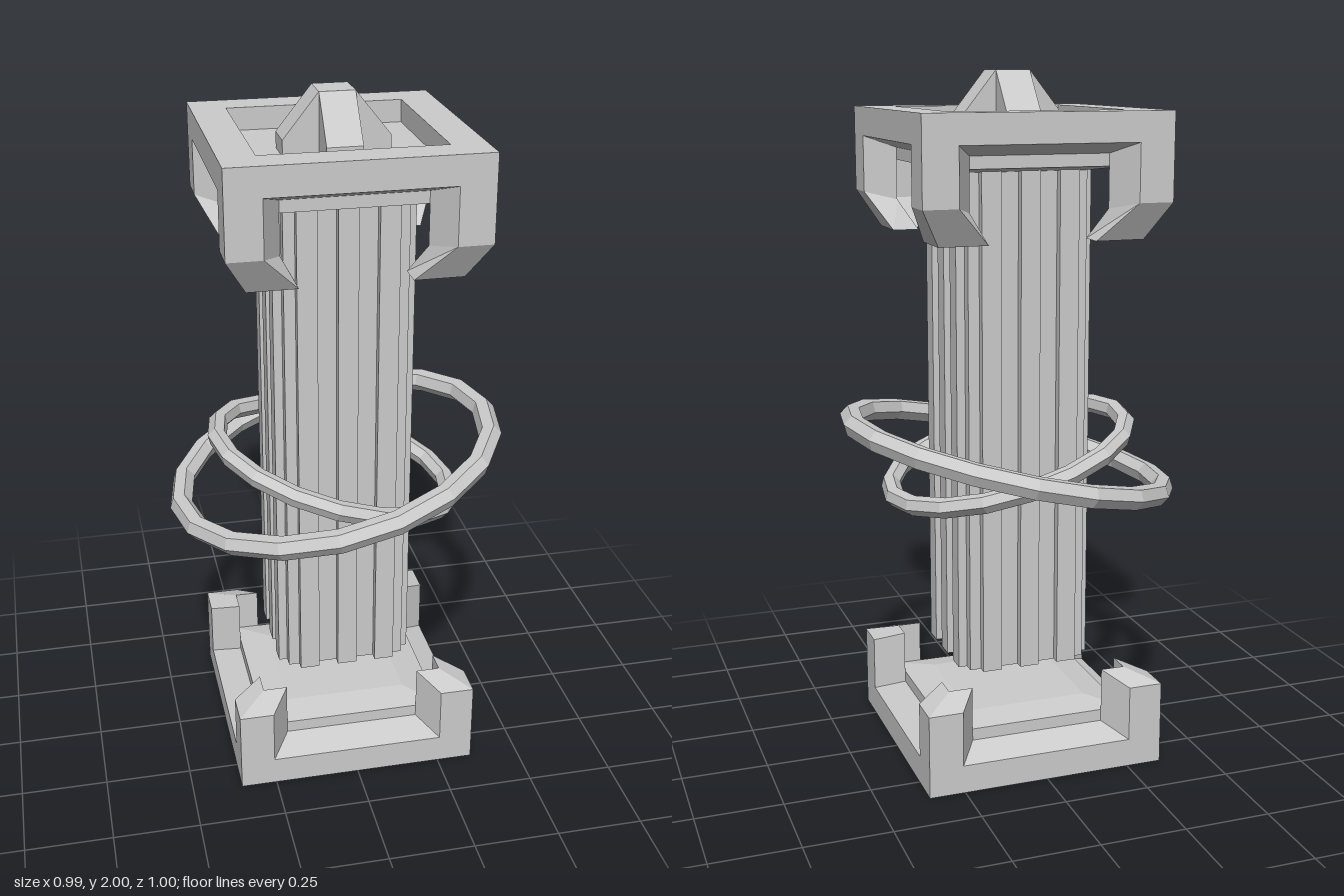
import * as THREE from 'three';

const material = new THREE.MeshStandardMaterial({ color: 0xcccccc, flatShading: true });

function mesh(name, geometry) {
  const m = new THREE.Mesh(geometry, material);
  m.name = name;
  return m;
}

// Square-plan solid from a [halfWidth, y] profile
function squareLathe(profile) {
  const pts = profile.map(([h, y]) => new THREE.Vector2(h * Math.SQRT2, y));
  return new THREE.LatheGeometry(pts, 4).rotateY(Math.PI / 4).toNonIndexed();
}

// Solid through matching loops of [x, y, z], ordered bottom to top
function loft(sections) {
  const pos = [];
  const tri = (...pts) => pts.forEach((p) => pos.push(...p));
  const n = sections[0].length;
  for (let s = 0; s < sections.length - 1; s++) {
    const lo = sections[s], hi = sections[s + 1];
    for (let i = 0; i < n; i++) {
      const j = (i + 1) % n;
      tri(lo[i], hi[i], lo[j]);
      tri(lo[j], hi[i], hi[j]);
    }
  }
  const cap = (loop, up) => {
    const flat = loop.map(([x, , z]) => new THREE.Vector2(x, z));
    for (const [a, b, c] of THREE.ShapeUtils.triangulateShape(flat, [])) {
      const area = THREE.ShapeUtils.area([flat[a], flat[b], flat[c]]);
      if ((area < 0) === up) tri(loop[a], loop[b], loop[c]);
      else tri(loop[a], loop[c], loop[b]);
    }
  };
  cap(sections[0], false);
  cap(sections[sections.length - 1], true);
  const g = new THREE.BufferGeometry();
  g.setAttribute('position', new THREE.Float32BufferAttribute(pos, 3));
  g.computeVertexNormals();
  return g;
}

// L-shaped corner section: outer points at yOuter, inner points at yInner
const POST = [[0.355, 0.355], [0.255, 0.355], [0.2, 0.27], [0.27, 0.27], [0.27, 0.2], [0.355, 0.255]];
const TIP = [[0.295, 0.295], [0.155, 0.295], [0.155, 0.22], [0.22, 0.22], [0.22, 0.155], [0.295, 0.155]];
const section = (plan, yOuter, yInner = yOuter) =>
  plan.map(([x, z], i) => [x, i >= 2 && i <= 4 ? yInner : yOuter, z]);

function fourCorners(name, geometry) {
  const g = new THREE.Group();
  g.name = name + 's';
  for (let k = 0; k < 4; k++) {
    const m = mesh(name, geometry);
    m.rotation.y = (k * Math.PI) / 2;
    g.add(m);
  }
  return g;
}

// Square column with three raised ribs per side and notched corners
function columnGeometry(y0, y1) {
  const out = 0.2, inn = 0.175, step = 0.4 / 7;
  const side = [[inn, -inn]];
  for (let r = -1; r <= 1; r++) {
    const a = (2 * r - 0.5) * step, b = a + step;
    side.push([inn, a], [out, a], [out, b], [inn, b]);
  }
  const pts = [];
  for (let k = 0; k < 4; k++) {
    for (const [x, y] of side) {
      pts.push(new THREE.Vector2(x, y).rotateAround(new THREE.Vector2(), (k * Math.PI) / 2));
    }
  }
  return new THREE.ExtrudeGeometry(new THREE.Shape(pts), { depth: y1 - y0, bevelEnabled: false })
    .rotateX(-Math.PI / 2).translate(0, y0, 0);
}

function ring(name, radius, tube, y, tilt) {
  const m = mesh(name, new THREE.TorusGeometry(radius, tube, 6, 18).rotateX(Math.PI / 2));
  m.position.y = y;
  m.rotation.z = THREE.MathUtils.degToRad(tilt);
  return m;
}

export function createModel() {
  const model = new THREE.Group();
  model.name = 'pillar';

  // Base tray with raised centre and corner posts
  model.add(mesh('base', squareLathe([
    [0, 0], [0.355, 0], [0.355, 0.083], [0.27, 0.115], [0.27, 0.15], [0.18, 0.167], [0, 0.167],
  ])));
  model.add(fourCorners('basePost', loft([section(POST, 0.083), section(POST, 0.245, 0.277)])));

  // Floating ribbed column
  model.add(mesh('column', columnGeometry(0.29, 1.735)));

  // Cap with recessed top and hooked corner claws
  model.add(mesh('cap', squareLathe([
    [0, 1.73], [0.18, 1.73], [0.27, 1.745], [0.27, 1.78], [0.355, 1.812],
    [0.355, 1.895], [0.255, 1.895], [0.255, 1.83], [0, 1.83],
  ])));
  model.add(fourCorners('capClaw', loft([
    section(TIP, 1.545), section(POST, 1.65, 1.63), section(POST, 1.812),
  ])));

  // Cross-shaped finial in the recess
  const fin = new THREE.Shape([
    [-0.15, 1.825], [0.15, 1.825], [0.15, 1.875], [0.05, 2], [-0.05, 2], [-0.15, 1.875],
  ].map(([x, y]) => new THREE.Vector2(x, y)));
  const finGeometry = new THREE.ExtrudeGeometry(fin, { depth: 0.1, bevelEnabled: false }).translate(0, 0, -0.05);
  for (let k = 0; k < 2; k++) {
    const m = mesh('finialFin', finGeometry);
    m.rotation.y = (k * Math.PI) / 2;
    model.add(m);
  }

  // Two tilted orbiting rings
  model.add(ring('largeRing', 0.474, 0.034, 0.895, 13.6));
  model.add(ring('smallRing', 0.362, 0.029, 0.89, -16.7));

  return model;
}
